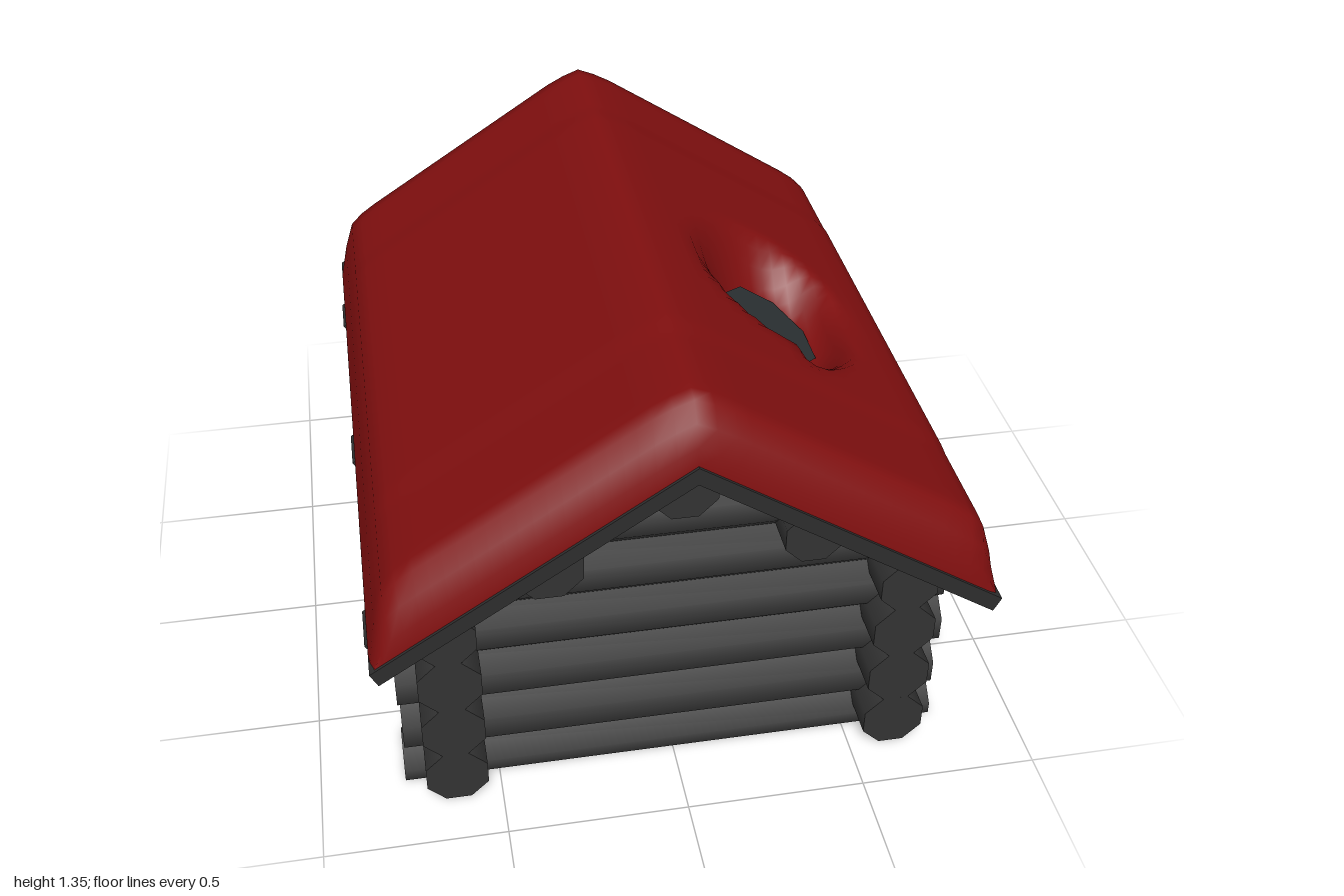
import * as THREE from 'three';

const mat = (name, hex, side = THREE.FrontSide) => {
  const m = new THREE.MeshStandardMaterial({ color: hex, side });
  m.name = name;
  return m;
};

export function createModel() {
  const model = new THREE.Group();
  model.name = 'logCabin';
  const wood = mat('charcoal logs', 0x333333);
  const board = mat('dark boards', 0x2d2d2d);
  const red = mat('red roof', 0x800f0f, THREE.DoubleSide);
  const frameGrey = mat('frame grey', 0x5c5a5b);
  const doorGrey = mat('door grey', 0x524d4d);
  const glass = mat('warm glass', 0xd9a577);
  const copper = mat('copper', 0xbf8a5a);
  const slate = mat('flue slate', 0x2c3234);

  const add = (parent, name, geo, material) => {
    const mesh = new THREE.Mesh(geo, material);
    mesh.name = name;
    parent.add(mesh);
    return mesh;
  };
  const group = (name) => {
    const g = new THREE.Group();
    g.name = name;
    model.add(g);
    return g;
  };
  // Box given by its min and max corners
  const box = (parent, name, material, x0, x1, y0, y1, z0, z1) => {
    const geo = new THREE.BoxGeometry(x1 - x0, y1 - y0, z1 - z0);
    geo.translate((x0 + x1) / 2, (y0 + y1) / 2, (z0 + z1) / 2);
    return add(parent, name, geo, material);
  };
  const eachVertex = (geo, fn) => {
    const p = geo.attributes.position, v = new THREE.Vector3();
    for (let i = 0; i < p.count; i++) {
      v.fromBufferAttribute(p, i);
      fn(v);
      p.setXYZ(i, v.x, v.y, v.z);
    }
    return geo;
  };
  // Eight-sided log from a to b along x or z; nothing goes below the ground
  const logGeo = (axis, a, b, y, other, r = 0.092) => {
    const geo = new THREE.CylinderGeometry(r, r, b - a, 8, 1, false, Math.PI / 8);
    if (axis === 'x') geo.rotateZ(Math.PI / 2).translate((a + b) / 2, y, other);
    else geo.rotateX(Math.PI / 2).translate(other, y, (a + b) / 2);
    return eachVertex(geo, (v) => { v.y = Math.max(0, v.y); });
  };

  // Front and back walls; the back is open for the door
  const walls = group('logWalls');
  for (const z of [0.685, -0.675]) {
    [0, 0.167, 0.335, 0.503].forEach((y, i) => {
      const end = 0.765 - 0.006 * (i % 2);
      if (z > 0) add(walls, 'frontLog', logGeo('x', -end, end, y, z), wood);
      else {
        add(walls, 'backLog', logGeo('x', -end, -0.15, y, z), wood);
        add(walls, 'backLog', logGeo('x', 0.15, end, y, z), wood);
      }
    });
    // Gable logs cut along the roof slope
    for (const y of [0.67, 0.838, 1.0]) {
      const geo = logGeo('x', -0.5, 0.5, y, z);
      eachVertex(geo, (v) => { v.x = Math.sign(v.x) * Math.min(0.64, (1.13 - v.y) / 0.66); });
      add(walls, 'gableLog', geo, wood);
    }
  }
  // Side walls; the left one (+x) is open for the window
  for (const s of [-1, 1]) {
    [0.09, 0.26, 0.43, 0.593].forEach((y, i) => {
      const x = s * 0.622, r = i === 3 ? 0.085 : 0.092;
      if (s > 0 && (i === 1 || i === 2)) {
        add(walls, 'sideLog', logGeo('z', -0.845, -0.13, y, x, r), wood);
        add(walls, 'sideLog', logGeo('z', 0.13, 0.86, y, x, r), wood);
      } else add(walls, 'sideLog', logGeo('z', -0.845, 0.86, y, x, r), wood);
    });
  }
  for (const [x, y, r] of [[0, 1.01, 0.092], [-0.35, 0.8, 0.098], [0.345, 0.81, 0.084]])
    add(walls, 'purlin', logGeo('z', -0.845, 0.86, y, x, r), wood);

  // Gable-shaped board layers: right half mirrored to the left
  const layer = (name, half, z0, z1, parent) => {
    const [top, eave, lip, under] = half;
    const pts = [top, eave, lip, under, [-lip[0], lip[1]], [-eave[0], eave[1]]];
    const shape = new THREE.Shape(pts.map((p) => new THREE.Vector2(p[0], p[1])));
    const geo = new THREE.ExtrudeGeometry(shape, { depth: z1 - z0, bevelEnabled: false });
    add(parent, name, geo.translate(0, 0, z0), board);
  };
  const roof = group('roof');
  layer('roofBoards', [[0, 1.19], [0.82, 0.65], [0.8, 0.61], [0, 1.14]], -1, 1, roof);
  for (const z of [-0.765, -0.02, 0.76])
    layer('rafter', [[0, 1.14], [0.83, 0.585], [0.808, 0.55], [0, 1.095]], z - 0.067, z + 0.067, roof);

  // Padded red cover: thickness profile over the boards, thinning at the ends
  const boardY = (x) => 1.19 - 0.66 * Math.abs(x);
  const half = [[0, 1.345], [0.05, 1.326], [0.1, 1.3]];
  for (let i = 1; i <= 16; i++) half.push([0.1 + 0.59 * i / 16, 1.3 - 0.38 * i / 16]);
  half.push([0.735, 0.887], [0.77, 0.85], [0.797, 0.76], [0.82, 0.649]);
  const profile = [...half.slice(1).reverse().map(([x, y]) => [-x, y]), ...half];
  const rows = [[-0.992, 0, 0.985], [-0.985, 0.32, 0.985], [-0.96, 0.65, 0.995], [-0.925, 0.94, 1]];
  for (let i = 0; i <= 48; i++) {
    const z = -0.88 + 1.76 * i / 48;
    rows.push([z, Math.abs(z) > 0.6 ? 0.97 : 1, 1]);
  }
  rows.push([0.925, 0.94, 1], [0.96, 0.65, 0.995], [0.985, 0.32, 0.985], [0.992, 0, 0.985]);
  const hole = { x: 0.405, z: 0.095, rx: 0.125, rz: 0.175 };
  const pos = [], idx = [], n = profile.length;
  rows.forEach(([z, f, sx], j) => profile.forEach(([px, py], i) => {
    const x = px * sx;
    const rz = z > hole.z && x > 0.42 ? 0.22 : hole.rz;
    const d = Math.hypot((x - hole.x) / hole.rx, (z - hole.z) / rz);
    const t = THREE.MathUtils.smoothstep(d, 0.9, 1.9);
    const h = (py - boardY(px)) * f;
    pos.push(x, boardY(x) + THREE.MathUtils.lerp(Math.min(h, 0.02), h, t), z);
    if (i < n - 1 && j < rows.length - 1) {
      const a = j * n + i, b = a + n;
      idx.push(a, b, a + 1, b, b + 1, a + 1);
    }
  }));
  const cover = new THREE.BufferGeometry();
  cover.setAttribute('position', new THREE.Float32BufferAttribute(pos, 3));
  cover.setIndex(idx);
  cover.computeVertexNormals();
  add(roof, 'roofCover', cover, red);

  // Flue plate lying on the slope inside the hollow
  const flue = new THREE.CircleGeometry(1.06, 8, Math.PI / 8);
  flue.rotateX(-Math.PI / 2).scale(hole.rx, 1, hole.rz).translate(hole.x, 0, hole.z);
  eachVertex(flue, (v) => { v.y = boardY(v.x) + 0.04; });
  flue.computeVertexNormals();
  add(roof, 'fluePlate', flue, slate);

  // Window in the +x wall
  const win = group('window');
  box(win, 'windowCore', frameGrey, 0.55, 0.69, 0.17, 0.55, -0.14, 0.14);
  for (const s of [-1, 1]) {
    const [a, b] = s < 0 ? [-0.155, -0.115] : [0.115, 0.155];
    box(win, 'windowJamb', frameGrey, 0.56, 0.725, 0.2, 0.557, a, b);
    const [c, d] = s < 0 ? [-0.118, -0.1] : [0.1, 0.118];
    box(win, 'sashSide', doorGrey, 0.66, 0.712, 0.225, 0.53, c, d);
  }
  box(win, 'windowSill', frameGrey, 0.56, 0.725, 0.2, 0.225, -0.12, 0.12);
  box(win, 'windowHead', frameGrey, 0.56, 0.725, 0.53, 0.557, -0.12, 0.12);
  box(win, 'sashBottom', doorGrey, 0.66, 0.712, 0.222, 0.238, -0.1, 0.1);
  box(win, 'sashTop', doorGrey, 0.66, 0.712, 0.514, 0.532, -0.1, 0.1);
  box(win, 'mullion', doorGrey, 0.66, 0.708, 0.235, 0.515, -0.007, 0.007);
  box(win, 'transom', doorGrey, 0.66, 0.708, 0.43, 0.444, -0.1, 0.1);
  box(win, 'outerGlass', glass, 0.688, 0.696, 0.235, 0.515, -0.102, 0.102);
  box(win, 'innerGlass', glass, 0.545, 0.553, 0.235, 0.515, -0.102, 0.102);

  // Door in the back wall
  const door = group('door');
  for (const [a, b] of [[-0.19, -0.135], [0.135, 0.19]])
    box(door, 'doorJamb', frameGrey, a, b, 0, 0.6, -0.81, -0.58);
  box(door, 'doorHead', frameGrey, -0.19, 0.19, 0.555, 0.6, -0.81, -0.58);
  box(door, 'threshold', frameGrey, -0.18, 0.18, 0, 0.02, -0.83, -0.57);
  box(door, 'doorLeaf', doorGrey, -0.136, 0.136, 0.02, 0.556, -0.755, -0.7);

  // Raised mouldings: arched upper panel and square lower panel
  const panel = (name, y0, y1, rise) => {
    const outline = (path, m) => {
      path.moveTo(-0.085 + m, y0 + m);
      path.lineTo(0.085 - m, y0 + m);
      path.lineTo(0.085 - m, y1 - m);
      path.quadraticCurveTo(0, y1 - m + rise * 2, -0.085 + m, y1 - m);
      path.closePath();
      return path;
    };
    const shape = outline(new THREE.Shape(), 0);
    shape.holes.push(outline(new THREE.Path(), 0.012));
    const geo = new THREE.ExtrudeGeometry(shape, { depth: 0.014, bevelEnabled: false, curveSegments: 8 });
    add(door, name, geo.translate(0, 0, -0.768), frameGrey);
  };
  panel('upperMoulding', 0.345, 0.485, 0.025);
  panel('lowerMoulding', 0.07, 0.27, 0);

  // Copper fittings
  for (const y of [0.185, 0.525]) {
    box(door, 'hingeStrap', copper, 0.11, 0.29, y - 0.013, y + 0.013, -0.845, -0.825);
    box(door, 'hingeEnd', copper, 0.275, 0.31, y - 0.027, y + 0.027, -0.85, -0.82);
    box(door, 'hingeKnuckle', copper, 0.14, 0.175, y - 0.022, y + 0.022, -0.85, -0.8);
  }
  const knocker = new THREE.OctahedronGeometry(0.026).scale(1, 1, 0.5).translate(0, 0.445, -0.765);
  add(door, 'knocker', knocker, copper);
  box(door, 'handlePlate', copper, -0.122, -0.095, 0.255, 0.325, -0.763, -0.754);
  box(door, 'handle', copper, -0.118, -0.07, 0.283, 0.3, -0.79, -0.76);

  return model;
}
